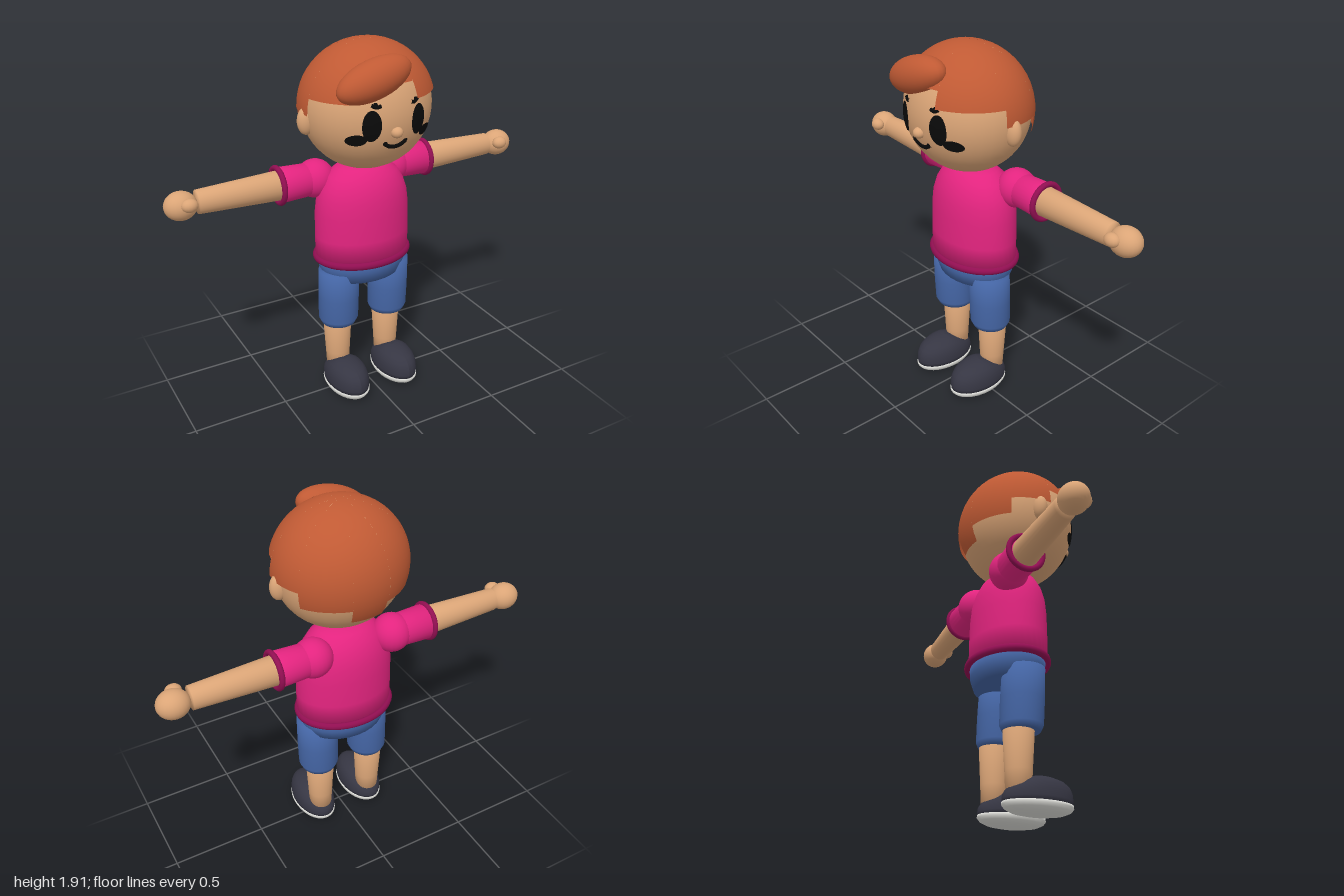
import * as THREE from 'three';

const mat = (name, color, side = THREE.FrontSide) => {
  const m = new THREE.MeshStandardMaterial({ color, side });
  m.name = name;
  return m;
};

export function createModel() {
  const root = new THREE.Group();
  root.name = 'boy';
  const skin = mat('skin', 0xdba577);
  const hair = mat('hair', 0xc05a34, THREE.DoubleSide);
  const shirt = mat('shirt', 0xe3247f);
  const trim = mat('shirtTrim', 0x920f52);
  const denim = mat('shorts', 0x4566a6);
  const shoe = mat('shoe', 0x363643);
  const rubber = mat('sole', 0xdfdfda);
  const ink = mat('faceInk', 0x0a0a0a, THREE.DoubleSide);

  const add = (name, geo, material, x = 0, y = 0, z = 0, parent = root) => {
    const m = new THREE.Mesh(geo, material);
    m.name = name;
    m.position.set(x, y, z);
    parent.add(m);
    return m;
  };
  const ellipsoid = (rx, ry, rz, seg = 24) =>
    new THREE.SphereGeometry(1, seg, Math.round(seg * 0.7)).scale(rx, ry, rz);
  // profile of [radius, height], bottom to top
  const lathe = (pts, sx = 1, sz = 1, seg = 28) =>
    new THREE.LatheGeometry(pts.map(p => new THREE.Vector2(...p)), seg).scale(sx, 1, sz);

  // ---- head ----
  const C = new THREE.Vector3(0, 1.585, -0.005);
  const R = new THREE.Vector3(0.327, 0.314, 0.296);
  const head = new THREE.Group();
  head.name = 'head';
  root.add(head);
  add('skull', ellipsoid(R.x, R.y, R.z, 36), skin, C.x, C.y, C.z, head);
  add('nose', ellipsoid(0.03, 0.027, 0.03, 16), skin, 0, 1.524, 0.285, head);
  for (const s of [1, -1])
    add(s > 0 ? 'leftEar' : 'rightEar', ellipsoid(0.045, 0.068, 0.037), skin, s * 0.32, 1.547, -0.01, head);

  // height of the face surface at x, y
  const faceZ = (x, y, lift) => {
    const k = 1 - (x / R.x) ** 2 - ((y - C.y) / R.y) ** 2;
    return C.z + R.z * Math.sqrt(Math.max(0, k)) + lift;
  };
  // oval patch wrapped on the face
  const patch = (name, x, y, rx, ry) => {
    const g = new THREE.RingGeometry(0, 1, 28, 4).scale(rx, ry, 1).translate(x, y, 0);
    const p = g.attributes.position;
    for (let i = 0; i < p.count; i++) p.setZ(i, faceZ(p.getX(i), p.getY(i), 0.006));
    g.computeVertexNormals();
    add(name, g, ink, 0, 0, 0, head);
  };
  const stroke = (name, pts, r) => {
    const curve = new THREE.CatmullRomCurve3(pts.map(([x, y]) => new THREE.Vector3(x, y, faceZ(x, y, 0))));
    add(name, new THREE.TubeGeometry(curve, 16, r, 6), ink, 0, 0, 0, head);
  };
  for (const s of [1, -1]) {
    patch('eye', s * 0.123, 1.566, 0.043, 0.075);
    patch('cheek', s * 0.183, 1.497, 0.043, 0.029);
    stroke('brow', [[s * 0.078, 1.657], [s * 0.1, 1.652], [s * 0.122, 1.663]], 0.009);
    patch('browDot', s * 0.105, 1.665, 0.01, 0.01);
    patch('mouthCorner', s * 0.055, 1.474, 0.011, 0.011);
  }
  stroke('mouth', [[-0.058, 1.474], [-0.03, 1.456], [0, 1.451], [0.03, 1.456], [0.058, 1.474]], 0.011);

  // ---- hair cap: [from, to, lower edge], degrees from the front towards +x ----
  const H = [0.342, 0.325, 0.312];
  const cap = new THREE.Group();
  cap.name = 'hairCap';
  head.add(cap);
  const rad = THREE.MathUtils.degToRad;
  const locks = [[-40, 20, 1.745], [20, 81, 1.667], [81, 120, 1.585], [120, 164, 1.5], [164, 196, 1.42],
    [196, 240, 1.5], [240, 279, 1.585], [279, 320, 1.667]];
  for (const [a, b, low] of locks) {
    const g = new THREE.SphereGeometry(1, Math.ceil((b - a) / 8), 14, rad(90 + a), rad(b - a),
      0, Math.acos((low - C.y) / H[1])).scale(...H);
    add('hairLock', g, hair, C.x, C.y, C.z, cap);
  }
  add('fringe', ellipsoid(0.195, 0.092, 0.09, 28), hair, -0.085, 1.768, 0.222, head).rotation.z = rad(17);

  // ---- torso ----
  add('shirtBody', lathe([[0, 0.77], [0.256, 0.77], [0.258, 0.9], [0.255, 1.03], [0.245, 1.11],
    [0.225, 1.17], [0.19, 1.225], [0.14, 1.262], [0.09, 1.28], [0, 1.282]], 1, 0.73, 36), shirt, 0, 0, -0.05);
  add('shirtHem', new THREE.TorusGeometry(0.25, 0.02, 10, 40).rotateX(Math.PI / 2).scale(1, 1, 0.775),
    trim, 0, 0.777, -0.052);
  add('hips', lathe([[0, 0.66], [0.215, 0.66], [0.24, 0.72], [0.244, 0.78], [0, 0.78]], 1, 0.74), denim, 0, 0, -0.052);

  for (const s of [1, -1]) {
    const side = s > 0 ? 'left' : 'right';

    // ---- arm ----
    const arm = new THREE.Group();
    arm.name = side + 'Arm';
    arm.position.set(0, 1.193, -0.14);
    root.add(arm);
    const along = g => g.rotateZ(-s * Math.PI / 2);
    add('shoulder', ellipsoid(0.1, 0.1, 0.1), shirt, s * 0.22, 0, 0, arm);
    add('sleeve', along(lathe([[0, 0.2], [0.082, 0.2], [0.091, 0.425], [0, 0.425]])), shirt, 0, 0, 0, arm);
    add('cuff', new THREE.TorusGeometry(0.089, 0.0145, 10, 28).rotateY(Math.PI / 2), trim, s * 0.424, 0, 0, arm);
    add('forearm', along(lathe([[0, 0.4], [0.077, 0.4], [0.06, 0.84], [0, 0.84]], 1, 0.92)), skin, 0, 0, 0, arm);
    add('hand', ellipsoid(0.081, 0.071, 0.071), skin, s * 0.919, -0.003, 0, arm);
    add('thumb', ellipsoid(0.041, 0.033, 0.034, 16), skin, s * 0.893, 0.017, 0.065, arm);

    // ---- leg ----
    const leg = new THREE.Group();
    leg.name = side + 'Leg';
    leg.position.x = s * 0.15;
    root.add(leg);
    const short = lathe([[0, 0.39], [0.092, 0.39], [0.106, 0.42], [0.108, 0.55], [0.106, 0.71], [0, 0.71]]);
    const sp = short.attributes.position;
    for (let i = 0; i < sp.count; i++) sp.setZ(i, sp.getZ(i) - 0.03 - (0.71 - sp.getY(i)) * 0.04);
    add('shortsLeg', short, denim, 0, 0, 0, leg);
    add('shin', lathe([[0, 0.08], [0.061, 0.1], [0.066, 0.2], [0.078, 0.42], [0, 0.42]]), skin, 0, 0, -0.057, leg);

    // shoe, dropping towards the heel
    const upper = lathe([[0, 0.05], [0.98, 0.05], [1, 0.075], [0.98, 0.108], [0.9, 0.138], [0.74, 0.16],
      [0.5, 0.175], [0.25, 0.182], [0, 0.183]], 0.106, 0.176);
    const p = upper.attributes.position;
    for (let i = 0; i < p.count; i++) {
      const y = p.getY(i);
      p.setY(i, y - Math.max(0, -p.getZ(i) - 0.02) * 2.2 * Math.max(0, y - 0.055));
    }
    upper.computeVertexNormals();
    add('shoeUpper', upper, shoe, 0, 0, 0.04, leg);
    add('shoeSole', lathe([[0, 0], [0.45, 0.003], [0.75, 0.012], [0.93, 0.026], [1, 0.042], [0.99, 0.055],
      [0, 0.055]], 0.108, 0.178), rubber, 0, 0, 0.04, leg);
  }
  return root;
}
